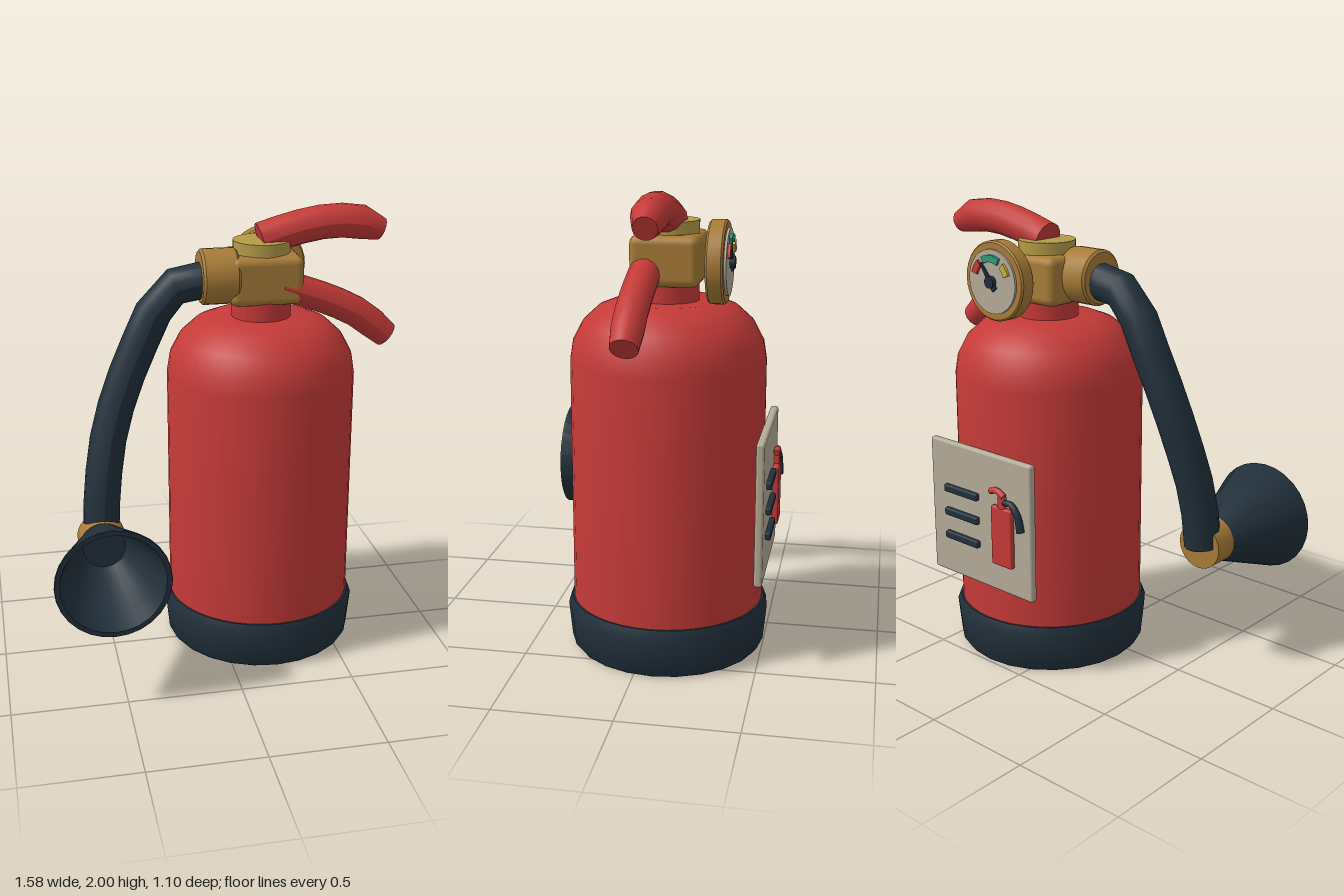
import * as THREE from 'three';
import { toCreasedNormals } from 'three/addons/utils/BufferGeometryUtils.js';
import { RoundedBoxGeometry } from 'three/addons/geometries/RoundedBoxGeometry.js';

const mat = (color) => new THREE.MeshStandardMaterial({ color });
const red = mat(0xc43a38), navy = mat(0x22303b), brass = mat(0xa87c38), paleBrass = mat(0xb59b48);
const cream = mat(0xb5ab98), teal = mat(0x2f9a7c), yellow = mat(0xc9b040);
const V = (p) => new THREE.Vector3(...p);

export function createModel() {
  const model = new THREE.Group();
  model.name = 'fireExtinguisher';

  const add = (name, geometry, material, pos = [0, 0, 0], parent = model) => {
    const mesh = new THREE.Mesh(geometry, material);
    mesh.name = name;
    mesh.position.set(...pos);
    parent.add(mesh);
    return mesh;
  };
  const lathe = (pts, segments) =>
    toCreasedNormals(new THREE.LatheGeometry(pts.map((p) => new THREE.Vector2(...p)), segments), 0.7);

  // Capped tube whose radius follows radiusAt(t)
  const addTube = (name, pts, radiusAt, steps, material, sides = 14, parent = model) => {
    const group = new THREE.Group();
    group.name = name;
    parent.add(group);
    const curve = new THREE.CatmullRomCurve3(pts.map(V));
    const geo = new THREE.TubeGeometry(curve, steps, 1, sides);
    const pos = geo.attributes.position, v = new THREE.Vector3();
    for (let i = 0; i < pos.count; i++) {
      const t = Math.floor(i / (sides + 1)) / steps;
      const c = curve.getPointAt(t);
      v.fromBufferAttribute(pos, i).sub(c).multiplyScalar(radiusAt(t)).add(c);
      pos.setXYZ(i, v.x, v.y, v.z);
    }
    geo.computeVertexNormals();
    add(name + 'Tube', geo, material, [0, 0, 0], group);
    for (const t of [0, 1]) {
      const end = curve.getPointAt(t);
      const cap = add(name + 'End', new THREE.CircleGeometry(radiusAt(t), sides), material, end.toArray(), group);
      cap.lookAt(end.clone().addScaledVector(curve.getTangentAt(t), t ? 1 : -1));
    }
  };

  // Cylinder body, foot and neck
  const bx = 0.2, bz = -0.075;
  add('body', lathe([[0, 0.15], [0.415, 0.15], [0.415, 1.28], [0.402, 1.36], [0.36, 1.44], [0.295, 1.5],
    [0.22, 1.53], [0, 1.53]], 40), red, [bx, 0, bz]);
  add('foot', lathe([[0, 0.005], [0.41, 0.005], [0.425, 0.025], [0.44, 0.18], [0.425, 0.22], [0, 0.22]], 24),
    navy, [bx, 0, bz]);
  add('neck', new THREE.CylinderGeometry(0.13, 0.13, 0.12, 24), red, [bx, 1.56, bz]);

  // Valve head
  add('valveBlock', new RoundedBoxGeometry(0.32, 0.21, 0.29, 3, 0.035), brass, [0.2, 1.705, -0.08]);
  add('valveCap', new THREE.CylinderGeometry(0.125, 0.125, 0.06, 24), paleBrass, [0.2, 1.832, -0.08]);
  const collar = lathe([[0, -0.08], [0.11, -0.08], [0.12, -0.07], [0.12, 0.07], [0.11, 0.08], [0, 0.08]], 24);
  add('hoseCollar', collar, brass, [0, 1.72, -0.04]).rotation.z = Math.PI / 2;

  // Levers
  const taper = (r, end) => (t) => (t > 0.9 ? end : r);
  addTube('upperLever', [[0.195, 1.86, -0.08], [0.36, 1.907, -0.08], [0.52, 1.93, -0.08], [0.65, 1.918, -0.08],
    [0.735, 1.885, -0.08]], taper(0.074, 0.05), 6, red);
  addTube('lowerLever', [[0.27, 1.68, 0], [0.49, 1.6, 0], [0.62, 1.535, 0], [0.75, 1.43, 0]],
    taper(0.067, 0.058), 6, red);

  // Hose, joint and hollow horn
  addTube('hose', [[-0.04, 1.71, -0.04], [-0.21, 1.67, -0.04], [-0.35, 1.43, -0.035], [-0.48, 1.1, 0],
    [-0.535, 0.82, 0.06], [-0.55, 0.6, 0.085]], () => 0.08, 9, navy);
  const joint = new THREE.CylinderGeometry(0.104, 0.104, 0.11, 24).rotateX(Math.PI / 2);
  add('hornJoint', joint, brass, [-0.55, 0.6, 0.115]);
  const horn = lathe([[0, 0.165], [0.1, 0.165], [0.245, 0.54], [0.243, 0.546], [0.222, 0.546], [0.19, 0.45],
    [0.14, 0.3], [0.092, 0.2], [0, 0.2]], 28).rotateX(Math.PI / 2);
  add('horn', horn, navy, [-0.55, 0.6, 0]);

  // Pressure gauge, built facing +z and turned to the back
  const gauge = new THREE.Group();
  gauge.name = 'gauge';
  gauge.position.set(0.275, 1.702, -0.26);
  gauge.rotation.y = Math.PI;
  model.add(gauge);
  const rim = lathe([[0, 0], [0.165, 0], [0.172, 0.008], [0.172, 0.064], [0.165, 0.072], [0, 0.072]], 32);
  add('gaugeRim', rim.rotateX(Math.PI / 2), brass, [0, 0, 0], gauge);
  const dial = new THREE.CylinderGeometry(0.138, 0.138, 0.02, 32).rotateX(Math.PI / 2);
  add('gaugeDial', dial, cream, [0, 0, 0.072], gauge);
  const zones = [['lowZone', red, 2.3, 2.85], ['goodZone', teal, 1.1, 2.05], ['highZone', yellow, 0.35, 0.85]];
  for (const [name, material, a, b] of zones) {
    const s = new THREE.Shape();
    s.absarc(0, 0, 0.115, a, b, false);
    s.absarc(0, 0, 0.085, b, a, true);
    add(name, new THREE.ExtrudeGeometry(s, { depth: 0.014, bevelEnabled: false, curveSegments: 8 }),
      material, [0, 0, 0.08], gauge);
  }
  const needle = new THREE.Shape([[-0.014, -0.04], [0.014, -0.04], [0.004, 0.095], [-0.004, 0.095]]
    .map((p) => new THREE.Vector2(...p)));
  add('needle', new THREE.ExtrudeGeometry(needle, { depth: 0.01, bevelEnabled: false }),
    navy, [0, 0, 0.085], gauge).rotation.z = 0.65;
  add('needleHub', new THREE.CylinderGeometry(0.026, 0.026, 0.025, 16).rotateX(Math.PI / 2),
    navy, [0, 0, 0.09], gauge);

  // Instruction plate on the back with bars and a small pictogram
  const plate = new THREE.Group();
  plate.name = 'instructionPlate';
  model.add(plate);
  const box = (name, w, h, d, material, pos) =>
    add(name, new RoundedBoxGeometry(w, h, d, 2, Math.min(w, h, d) * 0.35), material, pos, plate);
  box('platePanel', 0.61, 0.62, 0.035, cream, [0.2, 0.7, -0.502]);
  for (const y of [0.8, 0.69, 0.58]) box('plateBar', 0.205, 0.035, 0.025, navy, [0.303, y, -0.531]);
  box('iconBody', 0.12, 0.27, 0.028, red, [0.05, 0.66, -0.532]);
  box('iconNeck', 0.04, 0.06, 0.026, red, [0.05, 0.815, -0.532]);
  addTube('iconLever', [[0.035, 0.845, -0.535], [0.075, 0.865, -0.535], [0.115, 0.855, -0.535]],
    () => 0.014, 5, red, 8, plate);
  addTube('iconHose', [[0.04, 0.82, -0.535], [-0.01, 0.82, -0.535], [-0.045, 0.775, -0.535], [-0.06, 0.71, -0.535]],
    (t) => 0.012 + 0.006 * t, 8, navy, 8, plate);

  return model;
}
